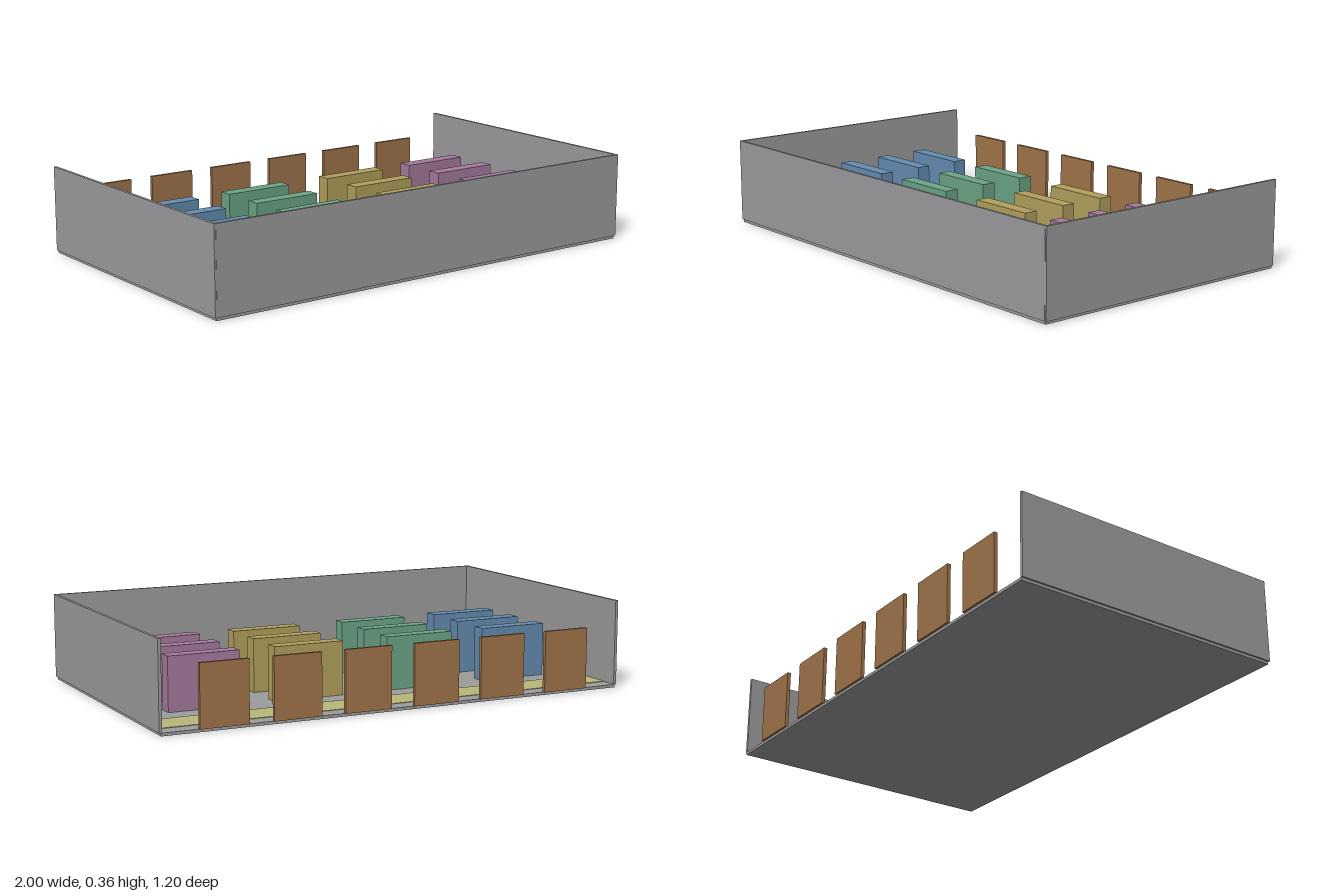
import * as THREE from 'three';

export function createModel() {
  const model = new THREE.Group();
  model.name = 'storeRoom';

  const paint = (name, color) => {
    const m = new THREE.MeshStandardMaterial({ color });
    m.name = name;
    return m;
  };
  const grey = paint('concrete grey', 0x9c9c9e);
  const aisleYellow = paint('aisle yellow', 0xb9b97a);
  const doorBrown = paint('door brown', 0xa0744a);
  const rackColors = [
    paint('rack blue', 0x648cb0),
    paint('rack green', 0x6ca486),
    paint('rack ochre', 0xb2a05c),
    paint('rack mauve', 0xa47a9c),
  ];

  // Box given by its centre in x and z, and its bottom height
  const box = (name, material, w, h, d, x, y, z, parent = model) => {
    const mesh = new THREE.Mesh(new THREE.BoxGeometry(w, h, d), material);
    mesh.name = name;
    mesh.position.set(x, y + h / 2, z);
    parent.add(mesh);
    return mesh;
  };

  // Floor slab and walls on three sides
  const floorTop = 0.012;
  const wallHeight = 0.348;
  box('floor', grey, 1.986, floorTop, 1.187, 0, 0, 0.002);
  box('frontWall', grey, 1.986, wallHeight, 0.011, 0, floorTop, 0.5945);
  for (const side of [-1, 1]) {
    box(side > 0 ? 'leftWall' : 'rightWall', grey,
      0.012, wallHeight, 1.19, side * 0.994, floorTop, 0.004);
  }

  // Painted aisle in front of the doors
  box('aisleStripe', aisleYellow, 1.974, 0.002, 0.149, 0, floorTop, -0.448);

  // Storage racks, one colour for each column
  const racks = new THREE.Group();
  racks.name = 'racks';
  model.add(racks);
  [-0.695, -0.25, 0.247, 0.693].forEach((x, i) => {
    for (const z of [-0.25, -0.05, 0.148]) {
      box('rack', rackColors[i], 0.298, 0.219, 0.06, x, floorTop, z, racks);
    }
  });

  // Row of doors along the open back
  const doors = new THREE.Group();
  doors.name = 'doors';
  model.add(doors);
  for (let i = 0; i < 6; i++) {
    box('door', doorBrown, 0.198, 0.248, 0.015, (i - 2.5) * 0.298, floorTop, -0.5935, doors);
  }

  return model;
}
